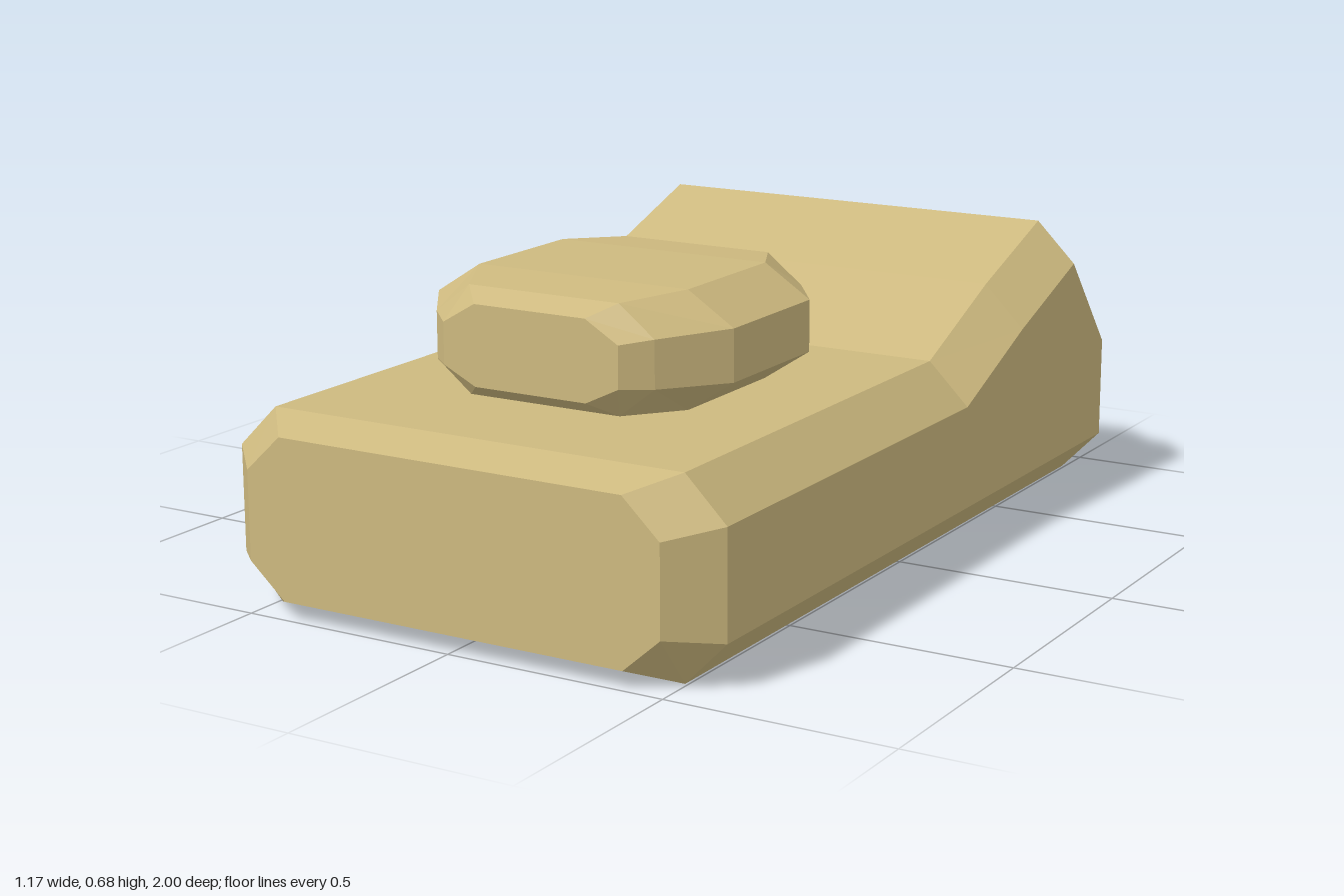
import * as THREE from 'three';

// Lofts chamfered octagonal cross-sections along z (front to back) and caps both ends.
// Each section: [z, half width, half width of top flat, bottom, side bottom, side top, top]
function loft(sections) {
  const rings = sections.map(([z, w, f, b, sb, st, t]) => [
    [f, b, z], [w, sb, z], [w, st, z], [f, t, z],
    [-f, t, z], [-w, st, z], [-w, sb, z], [-f, b, z],
  ]);
  const n = 8, last = rings.length - 1, index = [];
  for (let s = 0; s < last; s++) {
    for (let i = 0; i < n; i++) {
      const a = s * n + i, b = s * n + (i + 1) % n;
      index.push(a, a + n, b, b, a + n, b + n);
    }
  }
  for (let i = 1; i < n - 1; i++) {
    index.push(0, i, i + 1);
    index.push(last * n, last * n + i + 1, last * n + i);
  }
  const geometry = new THREE.BufferGeometry();
  geometry.setAttribute('position', new THREE.Float32BufferAttribute(rings.flat(2), 3));
  geometry.setIndex(index);
  const flat = geometry.toNonIndexed();
  flat.computeVertexNormals();
  return flat;
}

export function createModel() {
  const group = new THREE.Group();
  const material = new THREE.MeshStandardMaterial({ color: 0xcdb97f, flatShading: true });
  const add = (name, sections) => {
    const mesh = new THREE.Mesh(loft(sections), material);
    mesh.name = name;
    group.add(mesh);
  };

  // Chamfered base slab rising to a ridge at the back
  add('base', [
    [1, 0.495, 0.41, 0.04, 0.115, 0.31, 0.39],
    [0.905, 0.587, 0.493, 0, 0.097, 0.33, 0.423],
    [-0.145, 0.587, 0.493, 0, 0.097, 0.33, 0.423],
    [-0.43, 0.587, 0.493, 0, 0.097, 0.45, 0.545],
    [-0.715, 0.587, 0.493, 0, 0.097, 0.552, 0.646],
    [-0.905, 0.587, 0.493, 0, 0.097, 0.33, 0.423],
    [-1, 0.495, 0.41, 0.04, 0.115, 0.31, 0.39],
  ]);

  // Raised chamfered button resting on the flat of the base
  const end = [0.213, 0.135, 0.465, 0.503, 0.594, 0.64];
  const shoulder = [0.267, 0.183, 0.433, 0.499, 0.602, 0.667];
  const middle = [0.366, 0.258, 0.424, 0.495, 0.608, 0.677];
  add('button', [
    [0.697, ...end], [0.645, ...shoulder], [0.5, ...middle],
    [0.18, ...middle], [0.035, ...shoulder], [-0.02, ...end],
  ]);

  return group;
}
